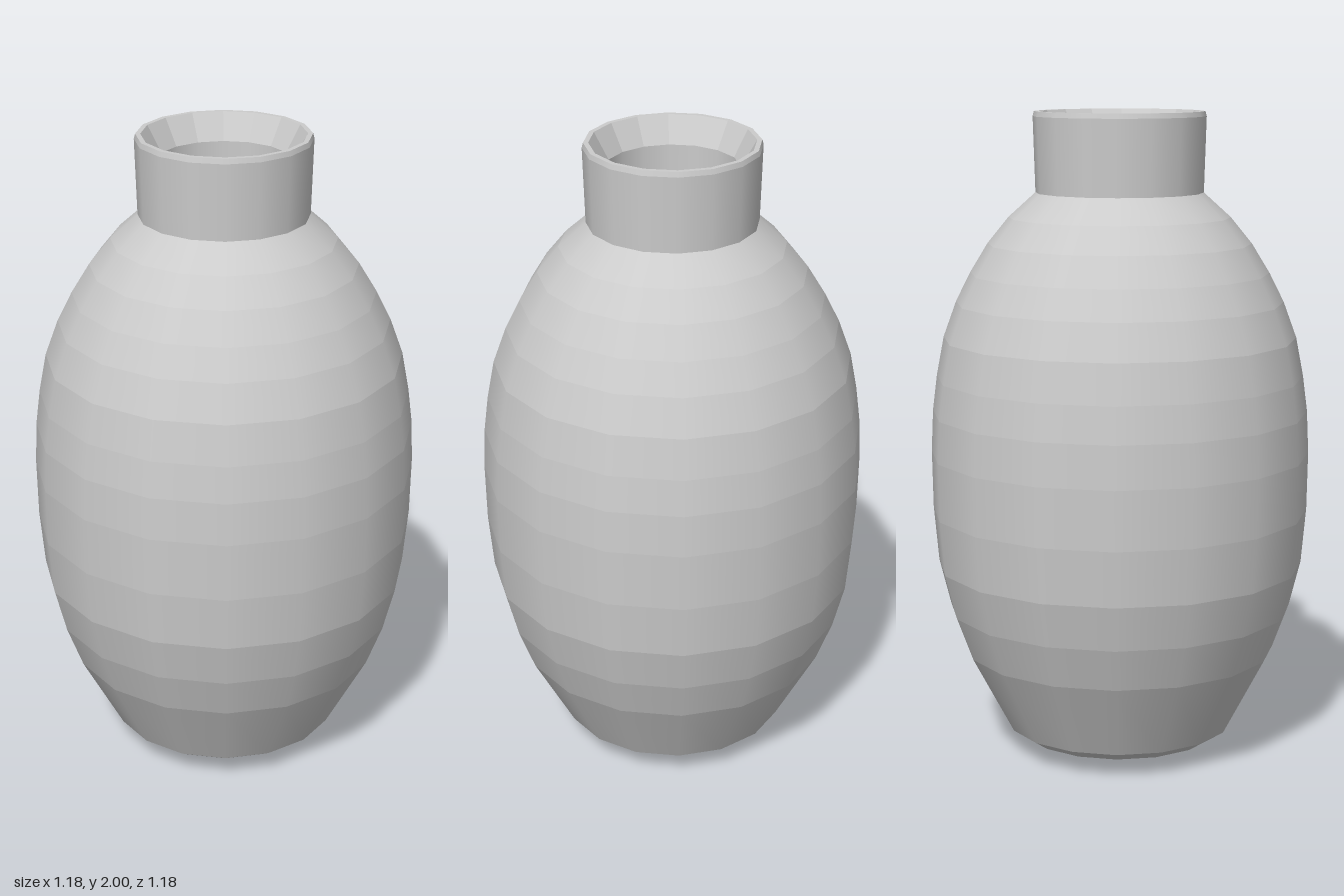
import * as THREE from 'three';
import { mergeGeometries } from 'three/addons/utils/BufferGeometryUtils.js';

const SIDES = 16;

// Each band is turned separately: smooth around the axis, creased between rings.
function turnedBands(name, profile, material) {
  const bands = [];
  for (let i = 0; i < profile.length - 1; i++) {
    const ends = [profile[i], profile[i + 1]].map(([r, y]) => new THREE.Vector2(r, y));
    bands.push(new THREE.LatheGeometry(ends, SIDES));
  }
  const mesh = new THREE.Mesh(mergeGeometries(bands), material);
  mesh.name = name;
  return mesh;
}

export function createModel() {
  const smooth = new THREE.MeshStandardMaterial({ color: 0xcccccc });
  const faceted = new THREE.MeshStandardMaterial({ color: 0xcccccc, flatShading: true });

  // Profiles are [radius, height] and run up the outside, down the inside.
  const base = [[0, 0], [0.2, 0.015], [0.31, 0.05], [0.355, 0.08]];
  const body = [
    [0.355, 0.08], [0.485, 0.325], [0.535, 0.46], [0.57, 0.6], [0.585, 0.77],
    [0.588, 0.95], [0.582, 1.08], [0.568, 1.19], [0.545, 1.31], [0.505, 1.42],
    [0.46, 1.51], [0.405, 1.6], [0.34, 1.68], [0.257, 1.755],
  ];
  const neck = [[0.257, 1.755], [0.264, 1.985], [0.26, 2]];
  const rim = [[0.26, 2], [0.245, 2]];
  const mouth = [[0.245, 2], [0.2, 1.92]];
  const throat = [[0.2, 1.92], [0.2, 1.73]];

  // Hollow inside, following the outer wall at a constant thickness.
  const wall = 0.05;
  const hollow = [
    [0.2, 1.73],
    ...body.slice(1, -1).reverse().map(([r, y]) => [r - wall, y - 0.02]),
    [0.31, 0.11], [0.2, 0.06], [0, 0.045],
  ];

  const vase = new THREE.Group();
  vase.name = 'vase';
  vase.add(
    turnedBands('base', base, smooth),
    turnedBands('body', body, smooth),
    turnedBands('neck', neck, smooth),
    turnedBands('rim', rim, smooth),
    turnedBands('mouth', mouth, faceted),
    turnedBands('throat', throat, smooth),
    turnedBands('hollow', hollow, smooth),
  );
  return vase;
}
